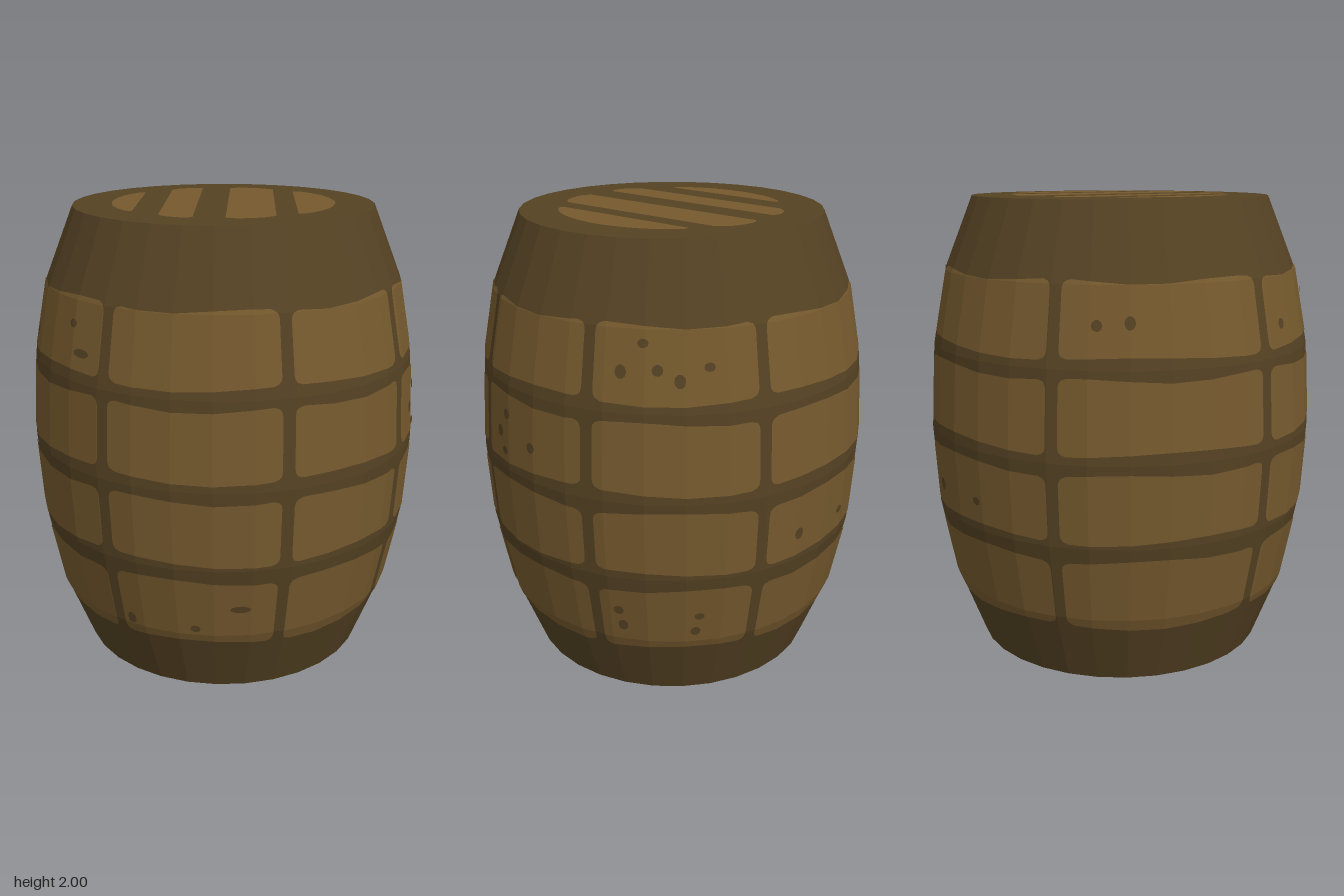
import * as THREE from 'three';

const SIDES = 32;
const STEP = (Math.PI * 2) / SIDES;
const RAD = Math.PI / 180;
const PROFILE = [[0.65, 0], [0.772, 0.32], [0.836, 0.65], [0.857, 1], [0.836, 1.37], [0.775, 1.69], [0.65, 2]];

// Point on the faceted barrel wall; angle runs from +z towards +x
function wallPoint(angle, y, lift) {
  let i = 0;
  while (i < PROFILE.length - 2 && y > PROFILE[i + 1][1]) i++;
  const [r0, y0] = PROFILE[i], [r1, y1] = PROFILE[i + 1];
  const r = r0 + ((r1 - r0) * (y - y0)) / (y1 - y0);
  const facet = Math.floor(angle / STEP + 1e-6);
  const off = angle - (facet + 0.5) * STEP;
  const d = (r * Math.cos(STEP / 2)) / Math.cos(off) + lift;
  return [Math.sin(angle) * d, y, Math.cos(angle) * d];
}

function meshFrom(name, positions, index, material) {
  const g = new THREE.BufferGeometry();
  g.setAttribute('position', new THREE.Float32BufferAttribute(positions, 3));
  g.setIndex(index);
  g.computeVertexNormals();
  const mesh = new THREE.Mesh(g, material);
  mesh.name = name;
  return mesh;
}

// Rounded light panel lying on the wall, with slightly wavy top and bottom edges
function panel(a0, a1, yLow, yHigh, material) {
  const rc = 0.042, ry = 0.035;
  const cuts = [0, 0.1, 0.35, 1].flatMap(f => [a0 + f * rc, a1 - f * rc]);
  for (let k = Math.ceil(a0 / STEP); k * STEP < a1; k++) cuts.push(k * STEP);
  cuts.sort((p, q) => p - q);
  const pos = [], index = [];
  cuts.forEach((a, c) => {
    const s = 1 - Math.min(1, (a - a0) / rc, (a1 - a) / rc);
    const inset = ry * (1 - Math.sqrt(Math.max(0, 1 - s * s)));
    const bottom = yLow + inset + 0.01 * Math.sin(a * 5 + yLow * 20);
    const top = yHigh - inset + 0.01 * Math.sin(a * 7 + yHigh * 20);
    const clampY = y => Math.min(top, Math.max(bottom, y));
    for (const y of [bottom, clampY(0.32), clampY(1.69), top]) pos.push(...wallPoint(a, y, 0.003));
    if (c > 0) {
      for (let r = 0; r < 3; r++) {
        const p = (c - 1) * 4 + r, q = c * 4 + r;
        index.push(p, q, q + 1, p, q + 1, p + 1);
      }
    }
  });
  return meshFrom('woodPanel', pos, index, material);
}

// Small dark oval knot on a panel
function knot(deg, y, w, h, material) {
  const n = 10, a = deg * RAD;
  const pos = [...wallPoint(a, y, 0.009)], index = [];
  for (let i = 0; i < n; i++) {
    const p = (i / n) * Math.PI * 2;
    pos.push(...wallPoint(a + (Math.cos(p) * w) / 1.64, y + (Math.sin(p) * h) / 2, 0.009));
    index.push(0, 1 + i, 1 + ((i + 1) % n));
  }
  return meshFrom('knot', pos, index, material);
}

// Diagonal lid stripe between offsets a and b, clipped by a circle
function lidStripe(a, b, material) {
  const R = 0.485, turn = 35 * RAD, n = 10;
  const nx = Math.cos(turn), nz = -Math.sin(turn), dx = Math.sin(turn), dz = Math.cos(turn);
  const pts = [];
  for (const sign of [1, -1]) {
    for (let i = 0; i <= n; i++) {
      const f = sign > 0 ? i / n : 1 - i / n;
      const s = a + (b - a) * f;
      const round = 0.03 * Math.pow(Math.abs(2 * f - 1), 4);
      const t = sign * Math.max(0.004, Math.sqrt(Math.max(0, R * R - s * s)) - round);
      pts.push(new THREE.Vector2(s * nx + t * dx, -(s * nz + t * dz)));
    }
  }
  const mesh = new THREE.Mesh(new THREE.ShapeGeometry(new THREE.Shape(pts)), material);
  mesh.rotation.x = -Math.PI / 2;
  mesh.position.y = 2.003;
  mesh.name = 'lidStripe';
  return mesh;
}

export function createModel() {
  const dark = new THREE.MeshStandardMaterial({ color: 0x554223, flatShading: true });
  dark.name = 'darkWood';
  const light = new THREE.MeshStandardMaterial({ color: 0x765a2e, flatShading: true });
  light.name = 'lightWood';

  const barrel = new THREE.Group();
  barrel.name = 'barrel';

  // Closed body
  const outline = [[0, 0], ...PROFILE, [0, 2]].map(([x, y]) => new THREE.Vector2(x, y));
  const body = new THREE.Mesh(new THREE.LatheGeometry(outline, SIDES), dark);
  body.name = 'body';
  barrel.add(body);

  // Four rows of panels between uneven upright seams (degrees)
  const seams = [-48, 2, 54, 97.5, 141.5, 190.5, 249, 312];
  const rows = [[0.275, 0.59], [0.675, 0.955], [1.04, 1.33], [1.41, 1.7]];
  const gap = 1.7;
  for (const [low, high] of rows) {
    for (let i = 0; i < seams.length - 1; i++) {
      barrel.add(panel((seams[i] + gap) * RAD, (seams[i + 1] - gap) * RAD, low, high, light));
    }
  }

  // Broad knots: angle and height
  for (const [deg, y] of [[-7, 1.49], [41.5, 0.46]]) barrel.add(knot(deg, y, 0.09, 0.035, dark));

  // Round knots in loose clusters: angle and height
  const spots = [
    [-11.5, 1.6], [-39, 1.5], [7, 0.355], [28, 0.355],
    [112, 1.25], [108, 1.16], [111, 1.085], [123, 1.15],
    [151, 1.53], [157, 1.64], [161, 1.54], [167, 1.5], [175, 1.55],
    [149, 0.48], [150, 0.4], [173, 0.46], [172, 0.38],
    [203, 0.78], [223, 0.78], [261, 1.54], [270, 1.55],
  ];
  spots.forEach(([deg, y], i) => barrel.add(knot(deg, y, 0.045, 0.035 + 0.01 * (i % 3), dark)));

  // Lid stripes
  for (const [a, b] of [[-0.48, -0.365], [-0.25, -0.11], [0.02, 0.22], [0.31, 0.48]]) barrel.add(lidStripe(a, b, light));

  return barrel;
}
